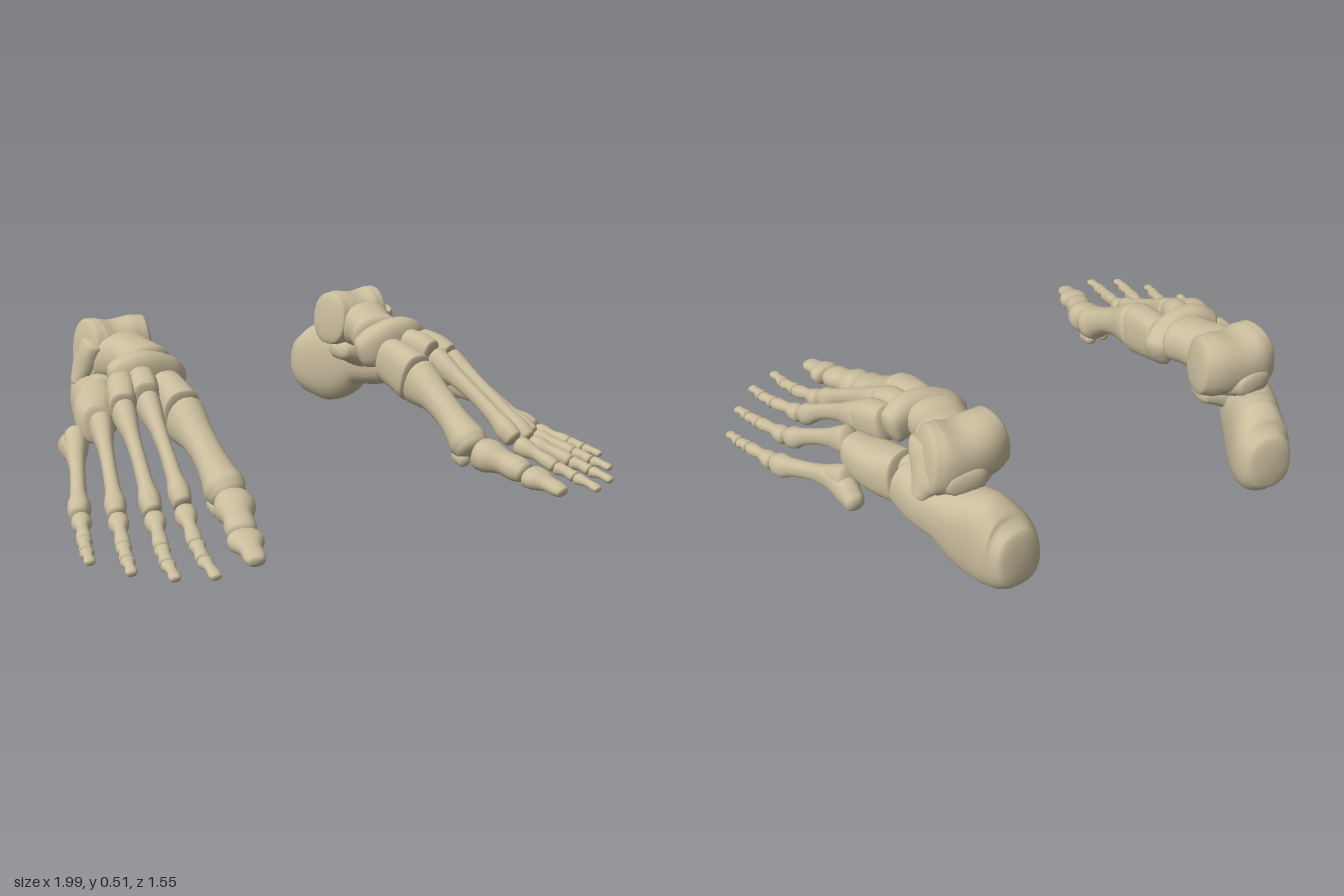
import * as THREE from 'three';

const bone = new THREE.MeshStandardMaterial({ color: 0xcabd9d });
bone.name = 'bone';

// Smooth closed loft. Each section is [x, y, z, halfWidth, halfHeight];
// cap = how far the domed ends bulge, square < 1 makes the outline boxier.
function loft(sections, side, { cap = 0.4, square = 0.85, seg = 24, steps = 5 } = {}) {
  const path = new THREE.CatmullRomCurve3(sections.map(s => new THREE.Vector3(s[0], s[1], s[2])));
  const size = new THREE.CatmullRomCurve3(sections.map(s => new THREE.Vector3(s[3], s[4], 0)));
  const n = (sections.length - 1) * steps, rings = [], capSteps = 5;
  const endRing = (t, a, dir) => rings.push([t, Math.cos(a), dir * Math.sin(a)]);
  for (let i = capSteps; i > 0; i--) endRing(0, i / capSteps * Math.PI / 2, -1);
  for (let i = 0; i <= n; i++) rings.push([i / n, 1, 0]);
  for (let i = 1; i <= capSteps; i++) endRing(1, i / capSteps * Math.PI / 2, 1);

  const pos = [], index = [], up = new THREE.Vector3(0, 1, 0);
  const pw = v => Math.sign(v) * Math.pow(Math.abs(v), square);
  for (const [t, k, out] of rings) {
    const c = path.getPoint(t), r = size.getPoint(t), T = path.getTangent(t);
    const S = up.clone().cross(T).normalize(), U = T.clone().cross(S);
    c.addScaledVector(T, out * cap * Math.min(r.x, r.y));
    for (let j = 0; j < seg; j++) {
      const a = j / seg * Math.PI * 2;
      const p = c.clone().addScaledVector(S, pw(Math.cos(a)) * r.x * k)
        .addScaledVector(U, pw(Math.sin(a)) * r.y * k);
      pos.push(p.x * side, p.y, p.z);
    }
  }
  for (let i = 0; i < rings.length - 1; i++) for (let j = 0; j < seg; j++) {
    const a = i * seg + j, b = i * seg + (j + 1) % seg, c = a + seg, d = b + seg;
    if (side > 0) index.push(a, b, c, b, d, c);
    else index.push(a, c, b, b, c, d);
  }
  const g = new THREE.BufferGeometry();
  g.setAttribute('position', new THREE.Float32BufferAttribute(pos, 3));
  g.setIndex(index);
  g.computeVertexNormals();
  return g;
}

// Sections of a long bone from a to b: profile rows are [t, halfWidth, halfHeight]
function longBone(a, b, profile, scale, bow = 0) {
  return profile.map(([t, w, h]) => [
    a[0] + (b[0] - a[0]) * t,
    a[1] + (b[1] - a[1]) * t + bow * Math.sin(t * Math.PI),
    a[2] + (b[2] - a[2]) * t, w * scale, h * scale]);
}

const METATARSAL = [[0, .04, .056], [.12, .036, .048], [.3, .026, .034], [.55, .023, .028],
  [.78, .025, .031], [.92, .035, .04], [1, .03, .037]];
const FIRST_METATARSAL = [[0, .067, .09], [.12, .063, .078], [.32, .054, .058], [.6, .052, .05],
  [.82, .06, .058], [.93, .067, .066], [1, .06, .06]];
const PROXIMAL = [[0, .033, .033], [.15, .034, .033], [.5, .02, .021], [.85, .025, .024], [1, .024, .022]];
const MIDDLE = [[0, .026, .023], [.5, .019, .018], [1, .023, .019]];
const DISTAL = [[0, .024, .02], [.5, .015, .013], [.85, .019, .013], [1, .016, .011]];
const BIG_PROXIMAL = [[0, .062, .056], [.18, .066, .056], [.55, .046, .04], [.85, .05, .042], [1, .046, .036]];
const BIG_DISTAL = [[0, .055, .036], [.18, .056, .036], [.55, .034, .024], [.85, .034, .022], [1, .028, .018]];

// Each ray: metatarsal base and head, then the toe joints out to the tip
const RAYS = [
  { base: [.472, .26, .065], head: [.477, .1, .375], toe: [[.485, .088, .43], [.538, .06, .585], [.547, .052, .62], [.573, .033, .745]], s: 1, ts: 1, bow: .018 },
  { base: [.58, .315, .01], head: [.643, .11, .395], toe: [[.65, .09, .43], [.685, .052, .57], [.688, .048, .592], [.702, .036, .655], [.704, .033, .675], [.712, .022, .764]], s: 1, ts: 1, bow: .018 },
  { base: [.66, .295, -.005], head: [.73, .09, .365], toe: [[.738, .075, .4], [.78, .047, .54], [.785, .042, .56], [.8, .032, .62], [.803, .03, .64], [.815, .02, .715]], s: 1, ts: .97, bow: .018 },
  { base: [.722, .25, -.055], head: [.814, .07, .285], toe: [[.824, .06, .32], [.866, .04, .458], [.871, .037, .475], [.886, .028, .53], [.89, .026, .55], [.905, .018, .614]], s: 1, ts: .95, bow: .012 },
  { base: [.773, .175, -.16], head: [.9, .05, .19], toe: [[.908, .044, .225], [.945, .034, .345], [.95, .032, .362], [.962, .025, .402], [.966, .023, .422], [.98, .018, .482]], s: 1.08, ts: .93, bow: .006 },
];

// Hindfoot and midfoot bones
const TARSALS = {
  heelBone: { cap: .25, square: .82, sections: [
    [.468, .182, -.755, .08, .1], [.476, .178, -.705, .096, .14], [.505, .185, -.63, .092, .167],
    [.535, .2, -.57, .092, .153], [.565, .22, -.505, .092, .115], [.605, .225, -.41, .085, .1],
    [.63, .245, -.325, .076, .092]] },
  heelShelf: { cap: .7, sections: [
    [.43, .285, -.42, .06, .04], [.5, .275, -.43, .08, .06], [.58, .25, -.45, .09, .08]] },
  heelFrontHorn: { cap: .5, sections: [
    [.6, .25, -.42, .06, .07], [.605, .28, -.355, .055, .06], [.612, .29, -.315, .05, .05]] },
  ankleDome: { cap: .2, square: .88, sections: [
    [.39, .41, -.44, .085, .1], [.44, .405, -.452, .1, .106], [.51, .4, -.457, .106, .101],
    [.575, .4, -.455, .108, .114], [.615, .405, -.45, .095, .112]] },
  ankleBody: { cap: .4, square: .85, sections: [
    [.535, .36, -.56, .065, .045], [.53, .36, -.48, .12, .075], [.512, .385, -.38, .108, .088],
    [.49, .385, -.3, .09, .078], [.48, .375, -.235, .1, .078]] },
  ankleLateralProcess: { cap: .4, sections: [
    [.585, .43, -.45, .108, .045], [.61, .36, -.457, .085, .045], [.645, .285, -.46, .035, .03]] },
  navicular: { cap: .5, square: .78, sections: [
    [.392, .325, -.2, .05, .06], [.43, .342, -.182, .054, .078], [.5, .365, -.17, .052, .083],
    [.56, .37, -.172, .052, .078], [.615, .355, -.185, .044, .062]] },
  medialCuneiform: { cap: .2, square: .78, sections: [
    [.458, .308, -.125, .058, .082], [.464, .292, -.05, .06, .09], [.47, .27, .03, .065, .094]] },
  middleCuneiform: { cap: .25, square: .78, sections: [
    [.545, .352, -.125, .046, .062], [.56, .342, -.07, .048, .066], [.574, .33, -.02, .044, .06]] },
  lateralCuneiform: { cap: .25, square: .78, sections: [
    [.615, .34, -.14, .048, .064], [.635, .325, -.08, .05, .068], [.654, .305, -.025, .044, .062]] },
  cuboid: { cap: .2, square: .8, sections: [
    [.642, .248, -.305, .07, .092], [.672, .24, -.23, .076, .088], [.704, .237, -.15, .066, .078],
    [.72, .243, -.09, .052, .066]] },
};

function buildFoot(side) {
  const foot = new THREE.Group();
  foot.name = side > 0 ? 'leftFoot' : 'rightFoot';
  const add = (name, sections, opts) => {
    const mesh = new THREE.Mesh(loft(sections, side, opts), bone);
    mesh.name = name;
    foot.add(mesh);
  };
  for (const [name, { sections, ...opts }] of Object.entries(TARSALS)) add(name, sections, opts);

  // Metatarsals and toes
  RAYS.forEach((ray, i) => {
    const small = { cap: .5, square: .9, seg: 18, steps: 4 };
    const profile = i === 0 ? FIRST_METATARSAL : METATARSAL;
    add(`metatarsal${i + 1}`, longBone(ray.base, ray.head, profile, ray.s, ray.bow), small);
    const kinds = i === 0 ? [BIG_PROXIMAL, BIG_DISTAL] : [PROXIMAL, MIDDLE, DISTAL];
    kinds.forEach((kind, k) => add(`toe${i + 1}Bone${k + 1}`,
      longBone(ray.toe[k * 2], ray.toe[k * 2 + 1], kind, ray.ts, .003), small));
  });

  // Bump on the outer base of the fifth metatarsal
  add('outerBaseBump', [[.78, .14, -.225, .034, .036], [.785, .153, -.17, .04, .05],
    [.8, .152, -.1, .034, .043], [.822, .135, -.03, .026, .034]], { cap: .7 });

  // Pair of small round bones under the big toe joint
  for (const x of [.45, .507]) {
    add('sesamoid', [[x, .062, .335, .024, .026], [x, .054, .37, .024, .026]], { cap: .8, seg: 14 });
  }
  return foot;
}

export function createModel() {
  const model = new THREE.Group();
  model.name = 'footBones';
  model.add(buildFoot(1), buildFoot(-1));
  return model;
}
